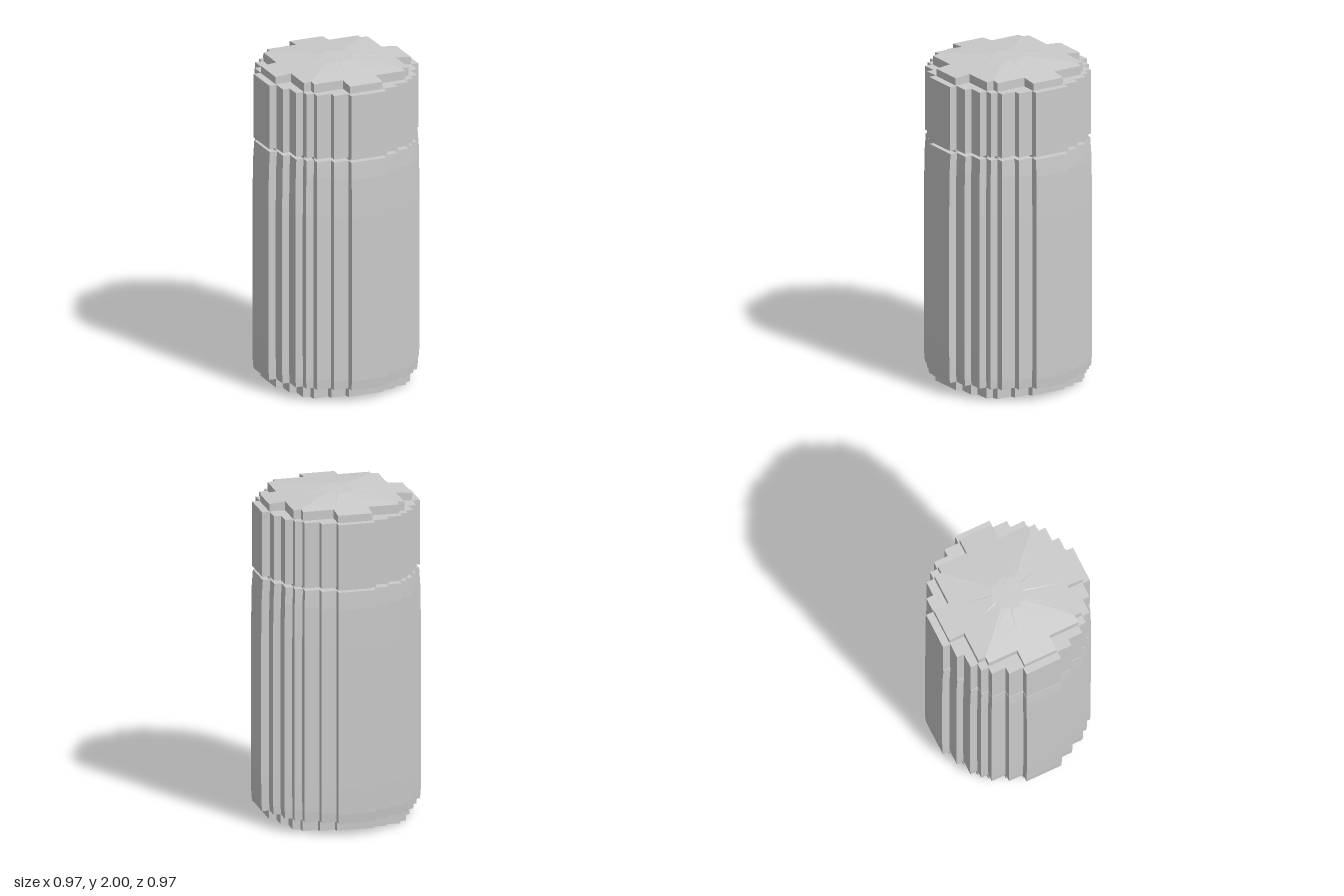
import * as THREE from 'three';

const material = new THREE.MeshStandardMaterial({ color: 0xcccccc, flatShading: true });

// Turn one quadrant of a stepped outline into the full closed outline.
function outline(quadrant) {
  const pts = [];
  for (let q = 0, set = quadrant; q < 4; q++) {
    pts.push(...set);
    set = set.map(([x, z]) => [-z, x]);
  }
  return pts;
}

const outer = outline([
  [0.487, 0.115], [0.44, 0.115], [0.44, 0.208], [0.395, 0.208], [0.395, 0.3], [0.348, 0.3], [0.348, 0.348],
  [0.3, 0.348], [0.3, 0.395], [0.208, 0.395], [0.208, 0.44], [0.115, 0.44], [0.115, 0.487],
]);
const crown = outline([
  [0.435, 0.105], [0.338, 0.105], [0.338, 0.292], [0.294, 0.292],
  [0.294, 0.338], [0.105, 0.338], [0.105, 0.435],
]);
const foot = outline([
  [0.437, 0.112], [0.392, 0.112], [0.392, 0.204], [0.345, 0.204], [0.345, 0.297],
  [0.297, 0.297], [0.297, 0.345], [0.204, 0.345], [0.204, 0.392], [0.112, 0.392], [0.112, 0.437],
]);

// Loft rings [scale, y] from bottom to top; y may be a function of (x, z).
function loft(name, pts, rings) {
  const pos = [];
  const at = (i, [s, y]) => {
    const [px, pz] = pts[i % pts.length];
    const x = px * s, z = pz * s;
    return [x, typeof y === 'function' ? y(x, z) : y, z];
  };
  for (let r = 0; r < rings.length - 1; r++) {
    const lo = rings[r], hi = rings[r + 1];
    for (let i = 0; i < pts.length; i++) {
      const a = at(i, lo), b = at(i + 1, lo), c = at(i + 1, hi), d = at(i, hi);
      if (hi[0] > 0) pos.push(...a, ...d, ...c);
      else pos.push(...a, ...d, ...b);
      if (lo[0] > 0 && hi[0] > 0) pos.push(...a, ...c, ...b);
    }
  }
  const geo = new THREE.BufferGeometry();
  geo.setAttribute('position', new THREE.Float32BufferAttribute(pos, 3));
  geo.computeVertexNormals();
  const mesh = new THREE.Mesh(geo, material);
  mesh.name = name;
  return mesh;
}

// Gentle doming: zero in the middle, growing towards the rim.
const reach = (x, z) => Math.max(Math.abs(x), Math.abs(z));
const topY = (x, z) => 2 - 0.1 * Math.max(0, reach(x, z) - 0.1);
const baseY = (x, z) => 0.1 * Math.max(0, reach(x, z) - 0.2) + 0.06 * Math.max(0, reach(x, z) - 0.34);

export function createModel() {
  const group = new THREE.Group();
  group.name = 'ribbedCanister';

  // domed base below the body
  group.add(loft('base', foot, [[0, baseY], [0.45, baseY], [0.78, baseY], [1, baseY], [1, 0.1], [0, 0.1]]));
  // ribbed body, drawn in slightly at both ends
  group.add(loft('body', outer, [
    [0, 0.083], [0.988, 0.083], [0.997, 0.14], [1, 0.3], [1, 1.15], [0.992, 1.4], [0.978, 1.505], [0, 1.505],
  ]));
  // recessed seam between body and lid
  group.add(loft('neck', crown, [[0, 1.48], [1, 1.48], [1, 1.55], [0, 1.55]]));
  // ribbed lid
  group.add(loft('lid', outer, [[0, 1.525], [0.986, 1.525], [0.986, 1.922], [0, 1.922]]));
  // raised, domed top of the lid
  group.add(loft('lidTop', crown, [[0, 1.91], [1, 1.91], [1, topY], [0.7, topY], [0.24, topY], [0, topY]]));

  return group;
}
